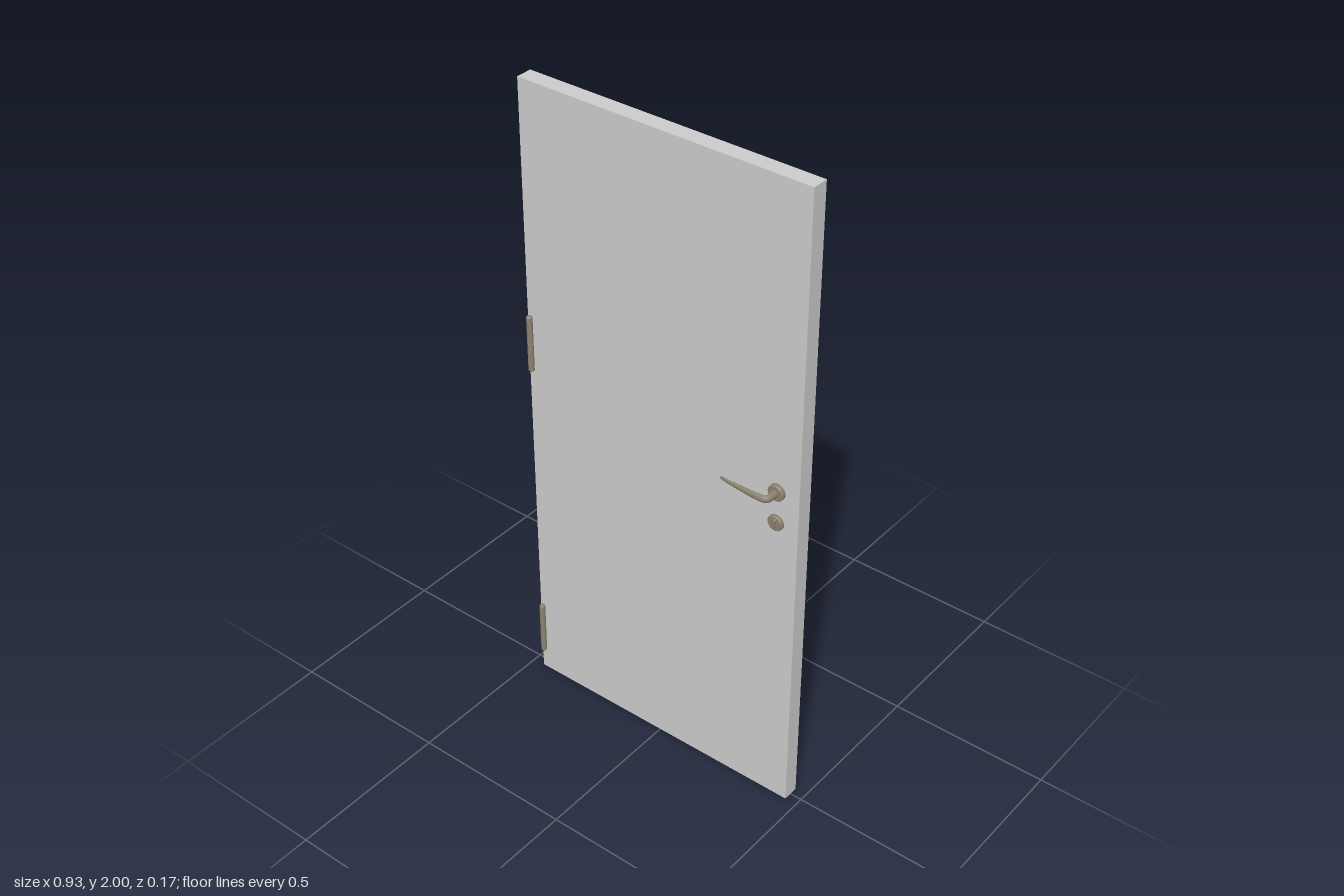
import * as THREE from 'three';

const grey = new THREE.MeshStandardMaterial({ color: 0xcccccc });
const metal = new THREE.MeshStandardMaterial({ color: 0x8c8270 });

function add(parent, name, geometry, material, x = 0, y = 0, z = 0) {
  const mesh = new THREE.Mesh(geometry, material);
  mesh.name = name;
  mesh.position.set(x, y, z);
  parent.add(mesh);
  return mesh;
}

// Round plate with a bevelled rim, standing out along +z
function plate(radius, depth) {
  const b = 0.003;
  const profile = [
    [radius, 0], [radius, depth - b], [radius, depth - b],
    [radius - b, depth], [radius - b, depth], [0, depth],
  ].map(([r, h]) => new THREE.Vector2(r, h));
  return new THREE.LatheGeometry(profile, 32).rotateX(Math.PI / 2);
}

// Oval rings joined into one closed skin.
// Each section: centre x, y, z, bend angle, half thickness, half height
function leverGeometry(sections, sides = 16) {
  const pos = [], index = [];
  for (const [x, y, z, angle, thick, high] of sections) {
    for (let i = 0; i < sides; i++) {
      const t = (i / sides) * Math.PI * 2;
      const u = Math.cos(t) * thick;
      pos.push(x + u * Math.cos(angle), y + Math.sin(t) * high, z + u * Math.sin(angle));
    }
  }
  for (let s = 0; s < sections.length - 1; s++) {
    for (let i = 0; i < sides; i++) {
      const a = s * sides + i, b = s * sides + (i + 1) % sides;
      index.push(a, b, b + sides, a, b + sides, a + sides);
    }
  }
  // Close the tip
  const last = (sections.length - 1) * sides;
  const [x, y, z] = sections[sections.length - 1];
  pos.push(x - 0.001, y, z);
  for (let i = 0; i < sides; i++) {
    index.push(last + i, last + (i + 1) % sides, pos.length / 3 - 1);
  }
  const g = new THREE.BufferGeometry();
  g.setAttribute('position', new THREE.Float32BufferAttribute(pos, 3));
  g.setIndex(index);
  g.computeVertexNormals();
  return g;
}

// Lever, rosette and lock plate for the front face
function hardware() {
  const set = new THREE.Group();
  const x = 0.393;
  add(set, 'rosette', plate(0.025, 0.013), metal, x, 1.08, 0.025);

  // Neck runs outwards, turns through a quarter circle, then tapers to the tip
  const sections = [[x, 1.08, 0.03, 0, 0.010, 0.012], [x, 1.08, 0.06, 0, 0.010, 0.011]];
  for (let i = 1; i <= 6; i++) {
    const a = (i / 6) * Math.PI / 2;
    sections.push([
      x - 0.016 * (1 - Math.cos(a)), 1.08, 0.06 + 0.015 * Math.sin(a),
      a, 0.010 - 0.0025 * (i / 6), 0.011,
    ]);
  }
  sections.push(
    [0.345, 1.081, 0.0765, Math.PI / 2, 0.0065, 0.010],
    [0.300, 1.083, 0.0765, Math.PI / 2, 0.005, 0.008],
    [0.262, 1.084, 0.075, Math.PI / 2, 0.0035, 0.006],
    [0.245, 1.085, 0.0735, Math.PI / 2, 0.0025, 0.005],
    [0.242, 1.085, 0.073, Math.PI / 2, 0.001, 0.002],
  );
  add(set, 'leverHandle', leverGeometry(sections), metal);

  // Lock plate with a slightly turned keyhole cover
  add(set, 'lockPlate', plate(0.024, 0.011), metal, x, 0.98, 0.025);
  const cover = new THREE.CapsuleGeometry(0.005, 0.026, 4, 12).scale(1, 1, 1.2);
  add(set, 'keyholeCover', cover, metal, x, 0.98, 0.036).rotation.z = -0.15;
  return set;
}

export function createModel() {
  const model = new THREE.Group();
  model.name = 'door';
  add(model, 'doorLeaf', new THREE.BoxGeometry(0.925, 2, 0.05), grey, 0, 1, 0);

  const front = hardware();
  front.name = 'frontHardware';
  model.add(front);

  // Back set is mirrored, not turned, so the lever points the same way
  const back = hardware();
  back.name = 'backHardware';
  back.scale.z = -1;
  model.add(back);

  // Two hinge barrels, each a pair of knuckles with end caps
  for (const y of [0.16, 1.195]) {
    const hinge = new THREE.Group();
    hinge.name = 'hinge';
    hinge.position.set(-0.4535, y, 0.03);
    for (const s of [-1, 1]) {
      add(hinge, 'knuckle', new THREE.CylinderGeometry(0.009, 0.009, 0.0855, 16), metal, 0, s * 0.0435, 0);
      add(hinge, 'endCap', new THREE.CylinderGeometry(s > 0 ? 0.006 : 0.009, s > 0 ? 0.009 : 0.006, 0.004, 16), metal, 0, s * 0.088, 0);
    }
    add(hinge, 'pin', new THREE.CylinderGeometry(0.007, 0.007, 0.01, 12), metal);
    model.add(hinge);
  }
  return model;
}
